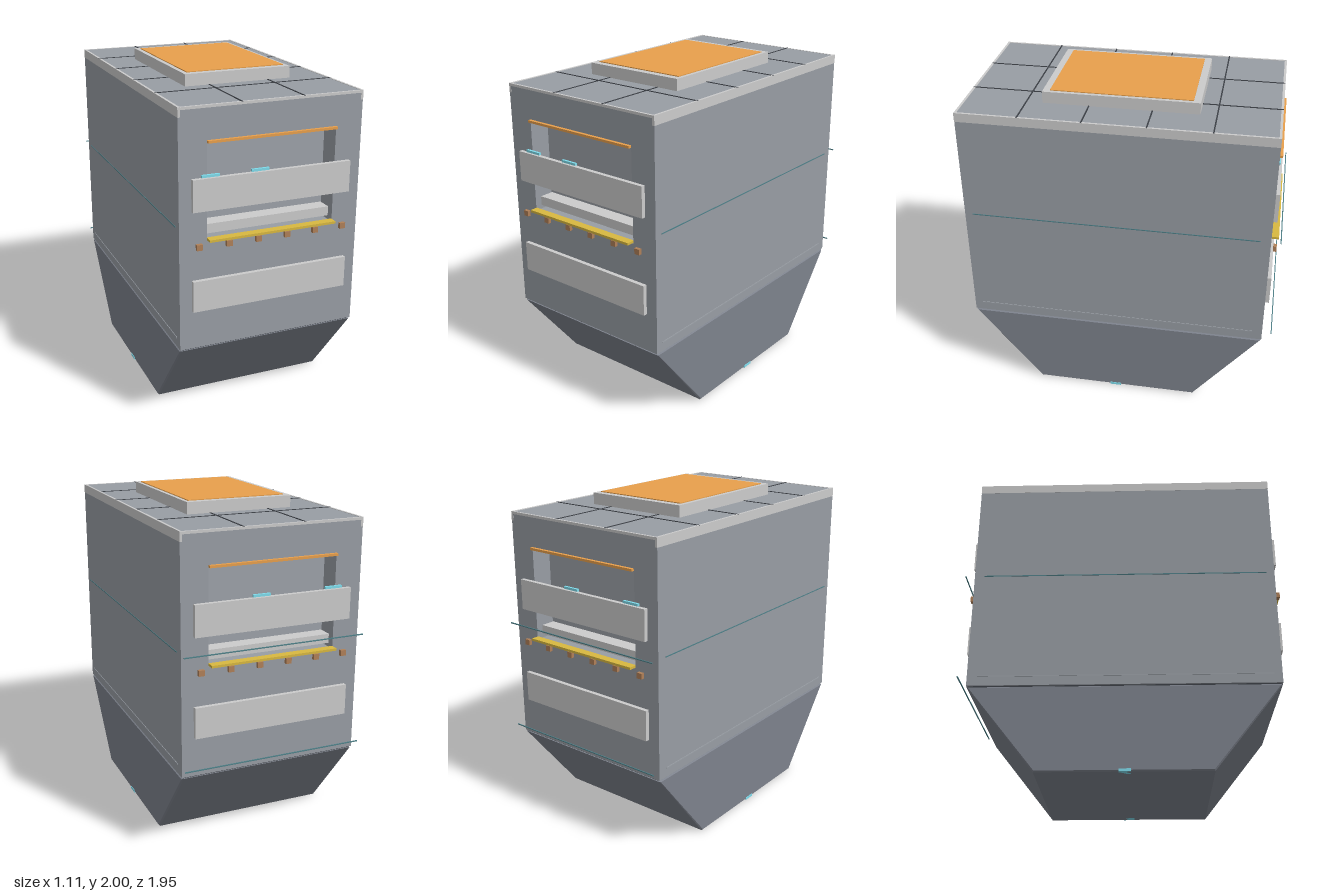
import * as THREE from 'three';

const mat = (color) => new THREE.MeshStandardMaterial({ color });
const M = {
  body: mat(0x989da4), recess: mat(0x9da2a9), hull: mat(0x7d828c), plate: mat(0xcccccc),
  seam: mat(0x3c4046), orange: mat(0xe8a04c), yellow: mat(0xd8b840), brown: mat(0xb08058),
  cyan: mat(0x7fdcec), teal: mat(0x4f8088),
};

function add(parent, name, geometry, material) {
  const mesh = new THREE.Mesh(geometry, material);
  mesh.name = name;
  parent.add(mesh);
  return mesh;
}

// Box given by its size and centre
function box(parent, name, material, size, pos) {
  const mesh = add(parent, name, new THREE.BoxGeometry(...size), material);
  mesh.position.set(...pos);
  return mesh;
}

const W = 0.55, D = 0.922, Y0 = 0.525, Y1 = 1.925;

// Fittings of one end wall, built facing +z
function makeEnd(name, lamps) {
  const end = new THREE.Group();
  end.name = name;
  for (const y of [1.441, 0.852]) box(end, 'armourBand', M.plate, [0.955, 0.184, 0.026], [0, y, D + 0.012]);
  box(end, 'bayHeaderStrip', M.orange, [0.775, 0.014, 0.03], [0, 1.73, D + 0.005]);
  box(end, 'baySillStrip', M.yellow, [0.775, 0.014, 0.05], [0, 1.18, D + 0.021]);
  box(end, 'bayBench', M.plate, [0.77, 0.055, 0.09], [0, 1.222, D - 0.085]);
  for (let i = 0; i < 6; i++) {
    box(end, 'sillLamp', M.brown, [0.034, 0.034, 0.02], [-0.4425 + i * 0.177, 1.148, D + 0.026]);
  }
  for (const x of lamps) box(end, 'bandLamp', M.cyan, [0.105, 0.014, 0.015], [x, 1.543, D + 0.008]);
  return end;
}

export function createModel() {
  const root = new THREE.Group();
  root.name = 'container';
  const model = new THREE.Group();
  model.position.z = 0.006;
  root.add(model);

  // Main body: a rectangular tube with a solid core, leaving a bay at each end
  const outer = new THREE.Shape([
    new THREE.Vector2(-W, Y0), new THREE.Vector2(W, Y0),
    new THREE.Vector2(W, Y1), new THREE.Vector2(-W, Y1),
  ]);
  outer.holes.push(new THREE.Path([
    new THREE.Vector2(-0.388, 1.17), new THREE.Vector2(-0.388, 1.72),
    new THREE.Vector2(0.388, 1.72), new THREE.Vector2(0.388, 1.17),
  ]));
  const shell = new THREE.ExtrudeGeometry(outer, { depth: 2 * D, bevelEnabled: false });
  shell.translate(0, 0, -D);
  add(model, 'mainBody', shell, M.body);
  box(model, 'bayBackWall', M.recess, [0.778, 0.552, 2 * (D - 0.13)], [0, 1.445, 0]);

  // Lower hull: trapezoid profile with small bevels, extruded across the width
  const b = 0.008;
  const profile = new THREE.Shape([
    new THREE.Vector2(-0.505, b), new THREE.Vector2(0.505, b),
    new THREE.Vector2(D - 0.012, 0.52 - b), new THREE.Vector2(-D + 0.012, 0.52 - b),
  ]);
  const hull = new THREE.ExtrudeGeometry(profile, {
    depth: 2 * (W - b), bevelThickness: b, bevelSize: b, bevelSegments: 1,
  });
  hull.translate(0, 0, -(W - b));
  hull.rotateY(-Math.PI / 2);
  add(model, 'lowerHull', hull, M.hull);
  box(model, 'hullJoint', M.seam, [2 * W - 0.02, 0.02, 2 * D - 0.02], [0, 0.52, 0]);

  // End walls
  model.add(makeEnd('frontEnd', [-0.37, -0.077]));
  const back = makeEnd('backEnd', [0.37, -0.077]);
  back.rotation.y = Math.PI;
  model.add(back);

  // Roof edge trim, side seams and keel lamps
  for (const s of [-1, 1]) {
    box(model, 'roofSideTrim', M.plate, [0.014, 0.055, 2 * D + 0.002], [s * (W - 0.006), 1.9, 0]);
    box(model, 'roofEndTrim', M.plate, [2 * W, 0.015, 0.014], [0, 1.919, s * (D - 0.006)]);
    box(model, 'sideSeamUpper', M.teal, [0.006, 0.006, 1.735], [s * W, 1.255, 0.006]);
    box(model, 'sideSeamLower', M.recess, [0.006, 0.006, 1.735], [s * W, 0.583, 0.006]);
    box(model, 'keelLamp', M.cyan, [0.06, 0.016, 0.07], [s * (W - 0.027), 0.008, 0.004]);
  }

  // Rails standing off the back wall
  for (const y of [1.255, 0.583]) box(model, 'backRail', M.teal, [2 * W + 0.008, 0.006, 0.006], [0, y, -0.978]);

  // Roof panel grooves
  for (const x of [-0.185, 0.185]) box(model, 'roofSeam', M.seam, [0.008, 0.006, 2 * D], [x, Y1, 0]);
  for (const z of [-0.555, -0.185, 0.185, 0.555]) {
    box(model, 'roofSeam', M.seam, [2 * W, 0.006, 0.008], [0, Y1, z]);
  }

  // Roof hatch
  box(model, 'hatchFrame', M.plate, [0.66, 0.072, 0.92], [-0.003, 1.959, 0]);
  box(model, 'hatchPanel', M.orange, [0.61, 0.02, 0.835], [-0.001, 1.99, 0]);
  return root;
}
